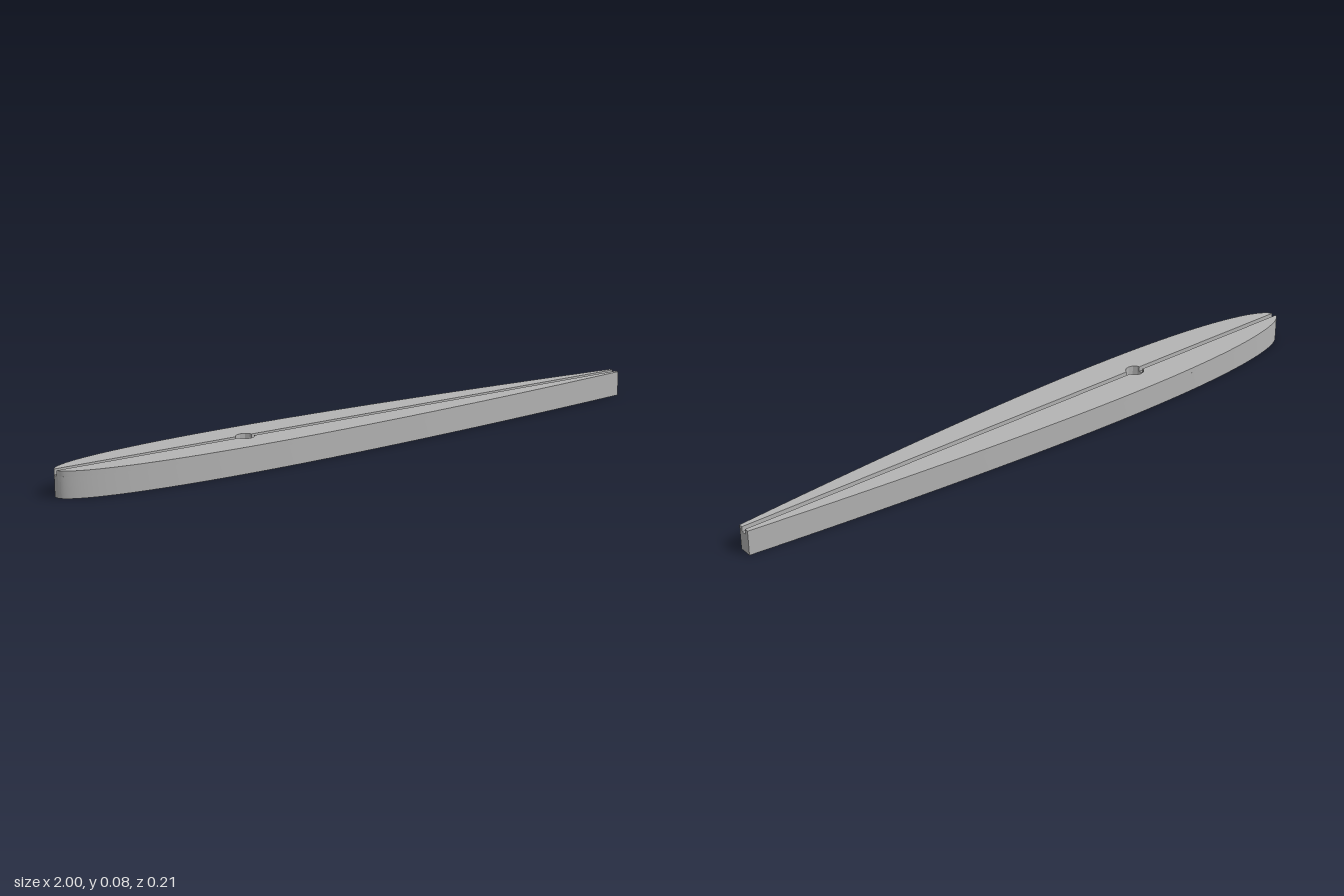
import * as THREE from 'three';
import { toCreasedNormals } from 'three/addons/utils/BufferGeometryUtils.js';

const HEIGHT = 0.078, FLOOR = 0.062;      // total height, groove floor
const GROOVE = 0.008;                     // half width of the groove
const CHORD = 2.17, THICK = 0.208;        // foil section, cut off at x = 1
const HOLE_X = -0.4, HOLE_R = 0.028, HOLE_SIDES = 12;
const STEPS = 48;

// Half thickness of the symmetric foil at distance d from the nose
function halfWidth(d) {
  const u = d / CHORD;
  return 5 * THICK * (0.2969 * Math.sqrt(u) - 0.126 * u - 0.3516 * u ** 2
    + 0.2843 * u ** 3 - 0.1015 * u ** 4) * (CHORD > 2 ? 1 : 0);
}

// Outline of one side, from the nose (or from distance d0) to the tail
function sidePoints(d0 = 0) {
  const points = [];
  for (let i = 0; i <= STEPS; i++) {
    const d = d0 + (2 - d0) * (i / STEPS) ** 2;
    points.push(new THREE.Vector2(d - 1, halfWidth(d)));
  }
  return points;
}

function holePoint(k) {
  const a = k * 2 * Math.PI / HOLE_SIDES;
  return new THREE.Vector2(HOLE_X + HOLE_R * Math.cos(a), HOLE_R * Math.sin(a));
}

// Extrude a plan shape upward from y0 to y1
function slab(shape, y0, y1) {
  const geometry = new THREE.ExtrudeGeometry(shape, { depth: y1 - y0, bevelEnabled: false });
  geometry.rotateX(-Math.PI / 2).translate(0, y0, 0);
  return toCreasedNormals(geometry, 0.4);
}

export function createModel() {
  const group = new THREE.Group();
  group.name = 'foilRib';
  const grey = new THREE.MeshStandardMaterial({ color: 0xb4b4b4 });
  grey.name = 'grey';
  const add = (name, geometry) => {
    const mesh = new THREE.Mesh(geometry, grey);
    mesh.name = name;
    group.add(mesh);
  };

  // Lower body with the through hole
  const side = sidePoints();
  const mirrored = side.slice(1).reverse().map(p => new THREE.Vector2(p.x, -p.y));
  const body = new THREE.Shape([...side, ...mirrored]);
  const ring = Array.from({ length: HOLE_SIDES }, (_, k) => holePoint(k));
  body.holes.push(new THREE.Path(ring));
  add('lowerBody', slab(body, 0, FLOOR));

  // Distance from the nose where the foil is as wide as the groove
  let lo = 0, hi = 0.1;
  for (let i = 0; i < 40; i++) {
    const mid = (lo + hi) / 2;
    if (halfWidth(mid) < GROOVE) lo = mid; else hi = mid;
  }

  // Upper halves either side of the groove, each notched by the hole
  const first = holePoint(0).lerp(holePoint(1), GROOVE / holePoint(1).y);
  const notch = [first];
  for (let k = 1; k < HOLE_SIDES / 2; k++) notch.push(holePoint(k));
  notch.push(new THREE.Vector2(2 * HOLE_X - first.x, GROOVE));
  const half = [...sidePoints(hi), new THREE.Vector2(1, GROOVE), ...notch];
  for (const [name, s] of [['backUpperHalf', 1], ['frontUpperHalf', -1]]) {
    const shape = new THREE.Shape(half.map(p => new THREE.Vector2(p.x, s * p.y)));
    add(name, slab(shape, FLOOR, HEIGHT));
  }
  return group;
}
